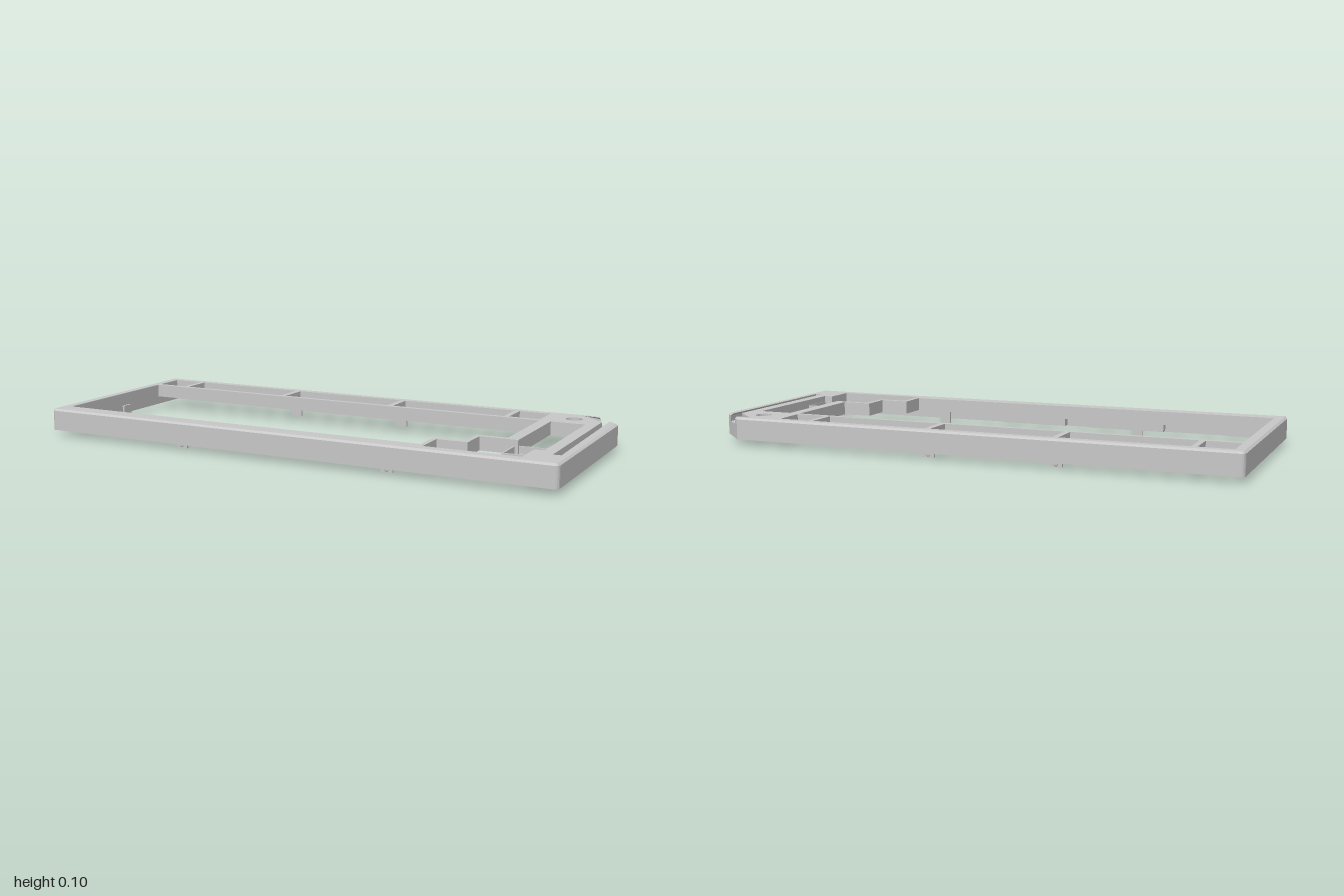
import * as THREE from 'three';

export function createModel() {
  const model = new THREE.Group();
  model.name = 'keyboardTopCase';
  const grey = new THREE.MeshStandardMaterial({ color: 0xc8c8c8 });
  grey.name = 'caseGrey';

  const add = (name, geometry) => {
    const mesh = new THREE.Mesh(geometry, grey);
    mesh.name = name;
    model.add(mesh);
    return mesh;
  };
  const box = (name, x0, x1, y0, y1, z0, z1) =>
    add(name, new THREE.BoxGeometry(x1 - x0, y1 - y0, z1 - z0))
      .position.set((x0 + x1) / 2, (y0 + y1) / 2, (z0 + z1) / 2);

  // Plan points are [x, z], listed clockwise from above, turned counter-clockwise here
  const points = (list) => list.map(([x, z]) => new THREE.Vector2(x, -z)).reverse();
  const rect = (x0, x1, z0, z1) => [[x0, z0], [x1, z0], [x1, z1], [x0, z1]];
  const layer = (outline, holes, y0, y1) => {
    const shape = new THREE.Shape(points(outline));
    shape.holes = holes.map((h) => new THREE.Path(points(h)));
    const g = new THREE.ExtrudeGeometry(shape, { depth: y1 - y0, bevelEnabled: false });
    return g.rotateX(-Math.PI / 2).translate(0, y0, 0);
  };
  const corner = (cx, cz, r, start) => [0, 1, 2, 3, 4].map((i) => {
    const a = start + (i / 4) * Math.PI / 2;
    return [cx + r * Math.cos(a), cz + r * Math.sin(a)];
  });

  // Outer outline with one clipped corner, and the same with the groove cut in
  const r = 0.018;
  const halfZ = 0.41;
  const groove = [[0.915, -0.388], [0.85, -0.388], [0.942, -0.303], [0.942, 0.288],
    [0.97, 0.288], [0.97, -0.334]];
  const makeOutline = (cut) => [
    ...corner(-1 + r, -halfZ + r, r, Math.PI),
    [0.892, -halfZ], ...cut, [1, -0.305],
    ...corner(1 - r, halfZ - r, r, 0),
    ...corner(-1 + r, halfZ - r, r, Math.PI / 2),
  ];
  const plain = makeOutline([]);
  const grooved = makeOutline(groove);

  // Openings in the upper deck
  const mainOpening = [[-0.96, -0.23], [0.73, -0.23], [0.73, 0.112], [0.617, 0.112],
    [0.617, 0.224], [0.505, 0.224], [0.505, 0.338], [-0.96, 0.338]];
  const sideOpening = [[0.773, -0.23], [0.9, -0.23], [0.9, 0.243], [0.865, 0.243],
    [0.865, 0.364], [0.523, 0.364], [0.523, 0.243], [0.635, 0.243], [0.635, 0.131],
    [0.773, 0.131]];
  const rowOpenings = [[-0.96, -0.838], [-0.817, -0.365], [-0.342, 0.112], [0.135, 0.587],
    [0.608, 0.727]].map(([a, b]) => rect(a, b, -0.37, -0.25));
  const knobHole = Array.from({ length: 32 }, (_, i) => {
    const a = (i / 32) * Math.PI * 2;
    return [0.836 + 0.03 * Math.cos(a), -0.312 + 0.03 * Math.sin(a)];
  });
  const openings = [mainOpening, sideOpening, knobHole, ...rowOpenings];
  const cavity = [[-0.96, -0.37], [0.84, -0.37], [0.9, -0.31], [0.9, 0.37], [-0.96, 0.37]];

  // Stacked case: hollow skirt, deck, grooved deck, bevelled top edge
  add('lowerSkirt', layer(plain, [cavity], 0.021, 0.053));
  add('deck', layer(plain, openings, 0.053, 0.075));
  add('groovedDeck', layer(grooved, openings, 0.075, 0.096));
  const top = layer(grooved, openings, 0.096, 0.103);
  const p = top.attributes.position;
  const bevel = 0.008;
  for (let i = 0; i < p.count; i++) {
    if (p.getY(i) < 0.1) continue;
    let x = THREE.MathUtils.clamp(p.getX(i), -1 + bevel, 1 - bevel);
    let z = THREE.MathUtils.clamp(p.getZ(i), -halfZ + bevel, halfZ - bevel);
    const over = x - z - (1.302 - bevel * 1.4);
    if (over > 0) { x -= over / 2; z += over / 2; }
    p.setXYZ(i, x, p.getY(i), z);
  }
  top.computeVertexNormals();
  add('bevelledTop', top);

  // Thin square key frame inside the side opening
  const t = 0.006;
  add('keyFrame', layer(rect(0.755, 0.903, 0.113, 0.246),
    [rect(0.755 + t, 0.903 - t, 0.113 + t, 0.246 - t)], 0.055, 0.08));

  // Snap tabs hanging below the skirt, each with a shallow round nub on its outer face
  const nub = new THREE.SphereGeometry(0.008, 12, 8).scale(1, 1, 0.4);
  const tab = (name, x, z, turn) => {
    const group = new THREE.Group();
    group.name = name;
    const plate = new THREE.Mesh(new THREE.BoxGeometry(0.045, 0.054, 0.009), grey);
    plate.name = 'tabPlate';
    plate.position.y = 0.027;
    const bump = new THREE.Mesh(nub, grey);
    bump.name = 'tabNub';
    bump.position.set(0, 0.01, 0.0045);
    group.add(plate, bump);
    group.position.set(x, 0, z);
    group.rotation.y = turn;
    model.add(group);
  };
  for (const x of [-0.43, 0.395]) tab('frontTab', x, 0.364, 0);
  for (const x of [-0.355, 0.122]) tab('backTab', x, -0.364, Math.PI);
  tab('rightTab', -0.955, 0, -Math.PI / 2);
  tab('leftTab', 0.893, 0.307, Math.PI / 2);

  // Support ribs under the front edge
  for (const [a, b] of [[-0.93, -0.78], [-0.54, -0.24], [-0.14, 0.13]]) {
    box('frontRib', a, b, 0.024, 0.053, 0.34, 0.37);
  }
  return model;
}
